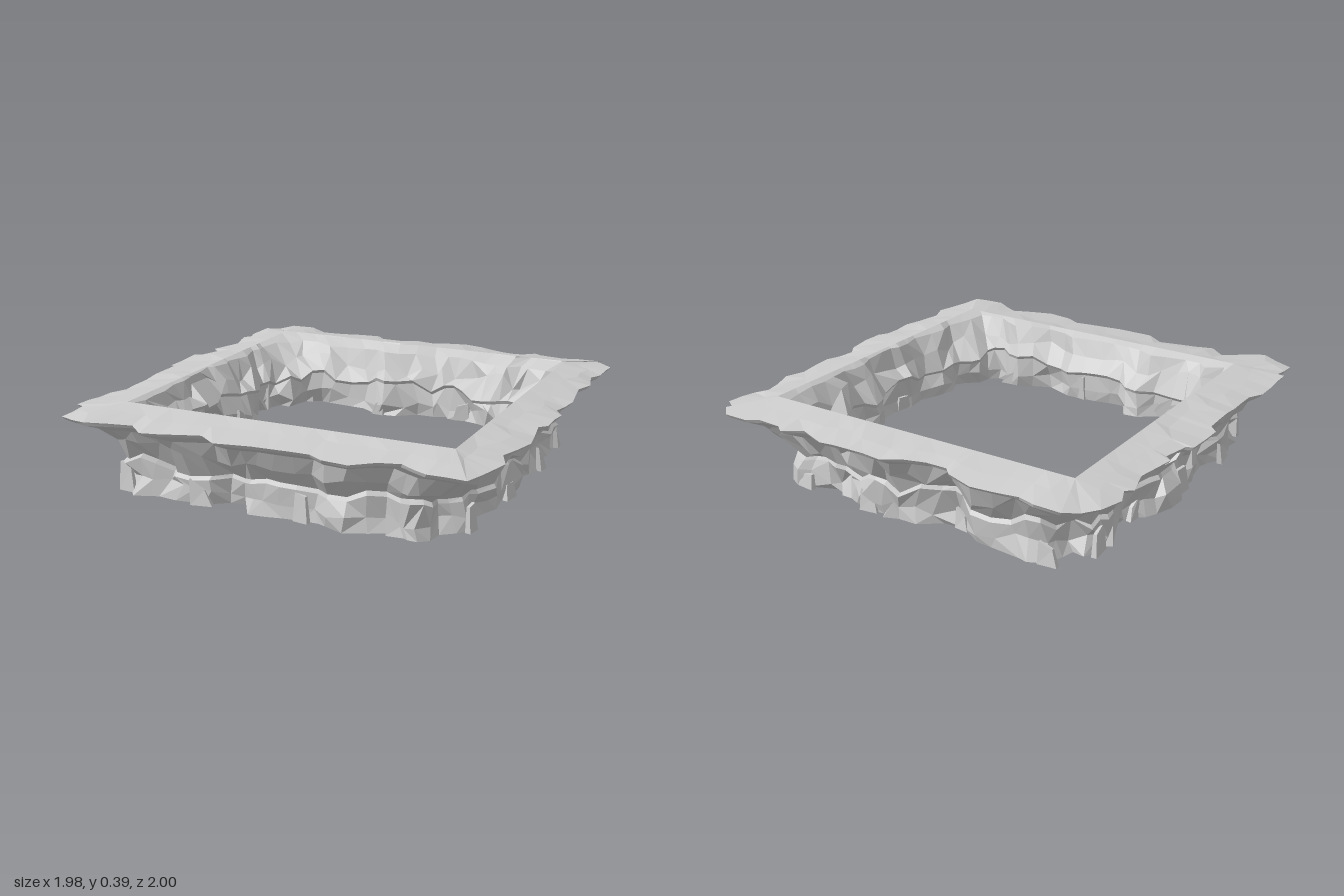
import * as THREE from 'three';

// Outer edge of the rim as x, z pairs: back, right, front, left
const OUTLINE = [
  [-0.95, -0.89], [-0.84, -1], [-0.72, -1], [-0.63, -0.96], [-0.42, -0.99], [-0.3, -0.96], [-0.26, -0.92],
  [-0.16, -0.92], [0.03, -0.98], [0.19, -0.99], [0.35, -0.98], [0.48, -0.93], [0.56, -0.99], [0.6, -0.96],
  [0.72, -0.95], [0.78, -0.98], [0.89, -0.98], [0.93, -0.94], [0.91, -0.92], [0.98, -0.87], [0.97, -0.72],
  [0.94, -0.66], [0.98, -0.5], [0.95, -0.41], [0.98, -0.21], [0.95, -0.06], [0.99, 0], [0.99, 0.2],
  [0.96, 0.24], [0.99, 0.43], [0.94, 0.63], [0.98, 0.72], [0.92, 0.98],
  [0.76, 0.985], [0.63, 0.91], [0.54, 0.94], [0.44, 0.995], [0.32, 0.98], [0.25, 0.94], [-0.17, 0.975],
  [-0.26, 0.91], [-0.52, 0.98], [-0.6, 0.91], [-0.79, 0.995], [-0.95, 0.93],
  [-0.945, 0.79], [-0.98, 0.78], [-0.98, 0.53], [-0.945, 0.46], [-0.955, 0.04], [-0.99, 0.01], [-0.99, -0.2],
  [-0.96, -0.21], [-0.93, -0.33], [-0.965, -0.36], [-0.93, -0.54], [-0.97, -0.67], [-0.94, -0.7], [-0.97, -0.77],
];

// Places where the rock bulges into the opening: x, z, radius, depth
const BULGES = [
  [-0.8, -0.36, 0.14, 0.08], [-0.78, -0.78, 0.24, 0.05], [-0.19, -0.8, 0.1, 0.07], [0.45, -0.8, 0.2, 0.06],
  [0.78, -0.78, 0.24, 0.03], [0.8, -0.37, 0.12, 0.06], [0.8, -0.08, 0.12, 0.06], [0.82, 0.45, 0.14, 0.04],
  [-0.8, 0.35, 0.12, 0.05], [-0.41, 0.78, 0.06, 0.05], [-0.2, 0.78, 0.1, 0.07], [0.8, 0.75, 0.16, 0.06],
];

function seeded(seed) {
  return () => {
    seed = (seed * 16807) % 2147483647;
    return seed / 2147483647;
  };
}

// Split long edges so every column of rock is narrow
function subdivide(points, step) {
  return points.flatMap(([x, z], i) => {
    const [nx, nz] = points[(i + 1) % points.length];
    const n = Math.max(1, Math.round(Math.hypot(nx - x, nz - z) / step));
    return Array.from({ length: n }, (_, k) => [x + (nx - x) * k / n, z + (nz - z) * k / n]);
  });
}

// Values held over a few neighbouring columns, giving block-like steps
function blocks(count, random, longest) {
  const values = [];
  while (values.length < count) {
    const v = random() * 2 - 1;
    const run = 1 + Math.floor(random() * longest);
    for (let k = 0; k < run; k++) values.push(v + (random() - 0.5) * 0.4);
  }
  return values;
}

// Closed loops of equal length joined into faceted bands, top to bottom
function loft(name, rings, material, random) {
  const n = rings[0].length;
  const index = [];
  for (let r = 0; r < rings.length - 1; r++) {
    for (let i = 0; i < n; i++) {
      const a = r * n + i, b = r * n + (i + 1) % n, c = a + n, d = b + n;
      if (random() < 0.5) index.push(a, b, c, b, d, c);
      else index.push(a, b, d, a, d, c);
    }
  }
  const indexed = new THREE.BufferGeometry();
  indexed.setAttribute('position', new THREE.Float32BufferAttribute(rings.flat(2), 3));
  indexed.setIndex(index);
  const geometry = indexed.toNonIndexed();
  geometry.computeVertexNormals();
  const mesh = new THREE.Mesh(geometry, material);
  mesh.name = name;
  return mesh;
}

// Upright block with a flat foot and a narrower, slanting top leaning back
function leaningSlab(width, height, depth, slant, material) {
  const geometry = new THREE.BoxGeometry(width, height, depth).translate(0, height / 2, 0);
  const p = geometry.attributes.position;
  for (let i = 0; i < p.count; i++) {
    if (p.getY(i) < height / 2) continue;
    const x = p.getX(i);
    p.setXYZ(i, x * 0.7 + slant * height, height * (1 + slant * Math.sign(x)), p.getZ(i) * 0.6 - depth * 0.35);
  }
  const flat = geometry.toNonIndexed();
  flat.computeVertexNormals();
  return new THREE.Mesh(flat, material);
}

export function createModel() {
  const group = new THREE.Group();
  group.name = 'rockyLedgeRing';
  const material = new THREE.MeshStandardMaterial({ color: 0xcccccc, flatShading: true, side: THREE.DoubleSide });
  const random = seeded(4711);
  const outline = subdivide(OUTLINE, 0.085);
  const n = outline.length;
  const { clamp, lerp } = THREE.MathUtils;

  // A loop shrunk from the outline, pulled in at corners and bulges, with
  // columns shifted sideways so that their edges slant
  const rockRing = (scale, y, corner, offsets, depth, heights, rise, slide, bulge) => outline.map(([x0, z0], i) => {
    const [x1, z1] = outline[(i + 1) % n];
    const t = slide * (0.5 + 0.5 * clamp(offsets[(i + 5) % n], -1, 1));
    const x = lerp(x0, x1, t), z = lerp(z0, z1, t);
    const ax = Math.abs(x), az = Math.abs(z);
    let s = scale - corner * Math.pow(Math.min(ax, az) / Math.max(ax, az), 5) + offsets[i] * depth;
    for (const [bx, bz, radius, amount] of BULGES) {
      s -= bulge * amount * Math.max(0, 1 - Math.hypot(x * 0.84 - bx, z * 0.84 - bz) / radius);
    }
    return [x * s, Math.max(0, y + heights[i] * rise), z * s];
  });

  const big = blocks(n, random, 4);
  const middle = blocks(n, random, 3);
  const small = blocks(n, random, 2);
  const tilt = blocks(n, random, 3);

  // Rim sloping from the straight inner opening to the ragged, sharp lip
  const inner = outline.map(([x, z]) => [clamp(x, -0.752 + 0.01 * z, 0.78), 0.39, clamp(z, -0.766, 0.732)]);
  const shoulder = outline.map(([x, z], i) => {
    const t = 0.5 + big[i] * 0.2;
    return [lerp(inner[i][0], x, t), 0.374 + tilt[i] * 0.004, lerp(inner[i][2], z, t)];
  });
  const lip = rockRing(1, 0.356, 0, big, 0, tilt, 0.008, 0, 0);
  const underLip = rockRing(0.988, 0.34, 0, small, 0.003, tilt, 0.006, 0, 0);
  const overhang = rockRing(0.915, 0.304, 0.015, big, 0.008, tilt, 0.008, 0.3, 0);
  group.add(loft('rim', [inner, shoulder, lip, underLip, overhang], material, random));

  // Large leaning facets under the rim
  const upper = rockRing(0.88, 0.235, 0.035, middle, 0.018, small, 0.035, 0.8, 0.3);
  const waist = rockRing(0.825, 0.155, 0.05, big, 0.02, tilt, 0.035, 0.6, 0.7);
  group.add(loft('upperCliff', [overhang, upper, waist], material, random));

  // Broken upright faces below the waist
  const shelf = rockRing(0.838, 0.138, 0.05, big, 0.022, tilt, 0.034, 0.6, 0.8);
  const face = rockRing(0.835, 0.065, 0.05, middle, 0.022, small, 0.025, 0.8, 1);
  const foot = rockRing(0.842, 0, 0.05, small, 0.022, tilt, 0, 0.7, 1);
  group.add(loft('lowerCliff', [waist, shelf, face, foot], material, random));

  // A few thin slabs leaning against the foot of the cliff
  const slabs = new THREE.Group();
  slabs.name = 'leaningSlabs';
  for (let i = 2; i < n - 1; i += 6) {
    const [x, , z] = foot[i];
    const width = 0.06 + random() * 0.05, height = 0.06 + random() * 0.06;
    const slab = leaningSlab(width, height, 0.025, (random() - 0.5) * 0.6, material);
    const alongX = Math.abs(z) > Math.abs(x);
    const facing = alongX ? (z > 0 ? 0 : Math.PI) : Math.sign(x) * Math.PI / 2;
    slab.position.set(clamp(x * 1.012, -0.82, 0.835), 0, clamp(z * 1.012, -0.825, 0.84));
    slab.rotation.y = facing + (random() - 0.5) * 0.4;
    slab.name = 'slab';
    slabs.add(slab);
  }
  group.add(slabs);

  return group;
}
